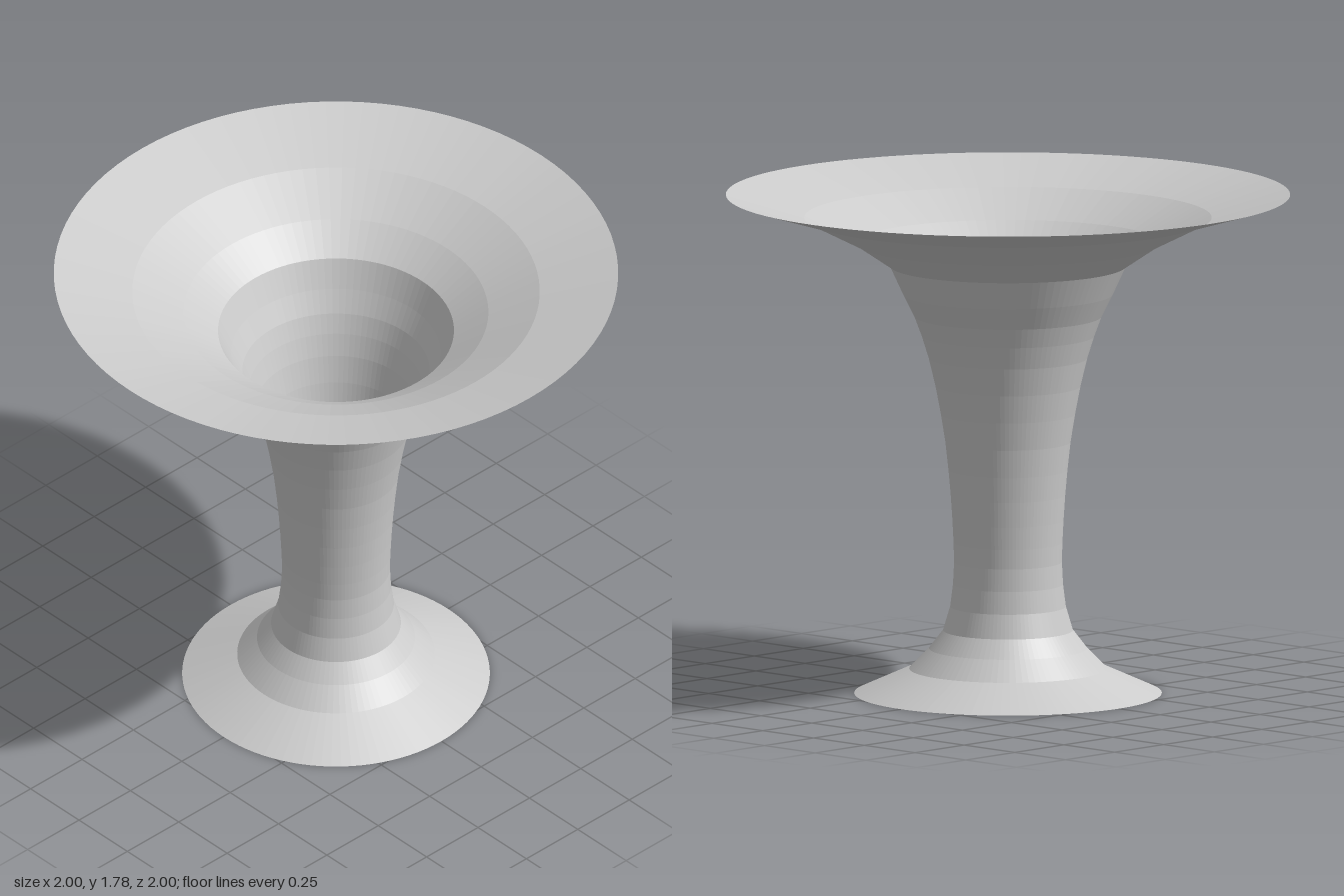
import * as THREE from 'three';

const SEGMENTS = 96;

// Radius and height pairs, from bottom to top
const footProfile = [[0.545, 0], [0.35, 0.088], [0.28, 0.16], [0.23, 0.225]];
const stemProfile = [
  [0.23, 0.225], [0.205, 0.31], [0.195, 0.39], [0.191, 0.47], [0.193, 0.54],
  [0.197, 0.62], [0.203, 0.71], [0.211, 0.8], [0.222, 0.9], [0.238, 1.0],
  [0.257, 1.1], [0.281, 1.2], [0.306, 1.28], [0.332, 1.35], [0.372, 1.43], [0.418, 1.53],
];
const rimProfile = [[0.418, 1.53], [0.54, 1.612], [0.722, 1.703], [1, 1.785]];

export function createModel() {
  const group = new THREE.Group();
  group.name = 'flaredPedestal';

  // Thin open shell, faceted in rings
  const material = new THREE.MeshStandardMaterial({
    color: 0xcccccc,
    flatShading: true,
    side: THREE.DoubleSide,
  });

  const addShell = (name, profile) => {
    const points = profile.map(([r, y]) => new THREE.Vector2(r, y));
    const mesh = new THREE.Mesh(new THREE.LatheGeometry(points, SEGMENTS), material);
    mesh.name = name;
    group.add(mesh);
  };

  addShell('foot', footProfile);
  addShell('stem', stemProfile);
  addShell('flaredRim', rimProfile);

  return group;
}
